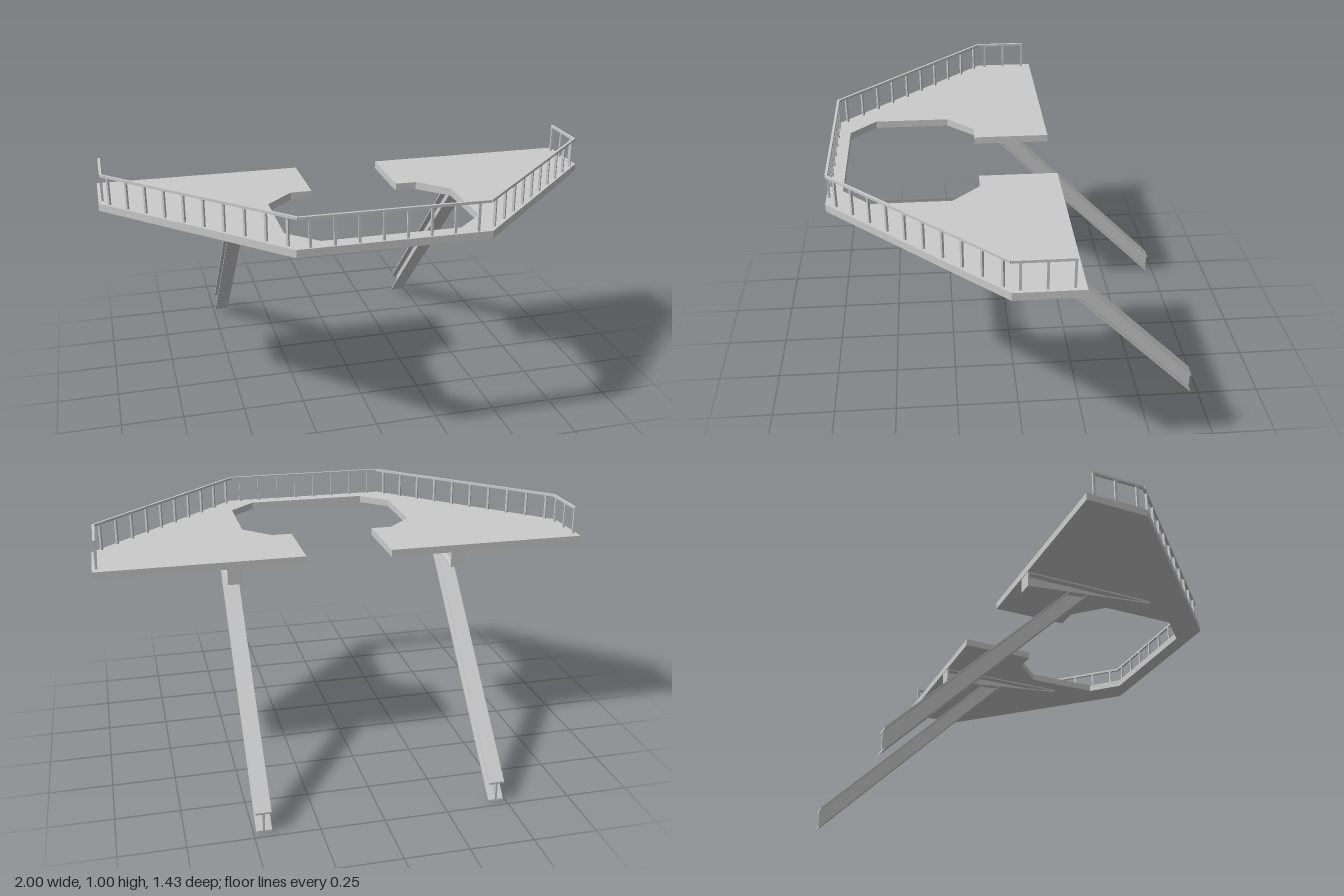
import * as THREE from 'three';

const DECK_TOP = 0.885, DECK_THICK = 0.03;

const material = () => new THREE.MeshStandardMaterial({ color: 0xcccccc, flatShading: true });

function addMesh(parent, name, geometry) {
  const mesh = new THREE.Mesh(geometry, material());
  mesh.name = name;
  parent.add(mesh);
  return mesh;
}

function extrude(points, depth) {
  const shape = new THREE.Shape(points.map(([a, b]) => new THREE.Vector2(a, b)));
  return new THREE.ExtrudeGeometry(shape, { depth, bevelEnabled: false });
}

// Horizontal slab from an [x, z] outline
function slab(points) {
  return extrude(points, DECK_THICK).rotateX(Math.PI / 2).translate(0, DECK_TOP, 0);
}

// Plate from a [z, y] outline, with its thickness along x and centred on x
function sidePlate(points, width, x) {
  return extrude(points, width).translate(0, 0, -width / 2).rotateY(-Math.PI / 2).translate(x, 0, 0);
}

// I-section beam; corners are [z, y]: upper start, upper end, lower end, lower start
function iBeam(parent, name, [a, b, c, d], width, t, x) {
  const toward = (p, q) => {
    const k = t / Math.hypot(q[0] - p[0], q[1] - p[1]);
    return [p[0] + (q[0] - p[0]) * k, p[1] + (q[1] - p[1]) * k];
  };
  const beam = new THREE.Group();
  beam.name = name;
  const a2 = toward(a, d), d2 = toward(d, a), b2 = toward(b, c), c2 = toward(c, b);
  addMesh(beam, 'upperFlange', sidePlate([a, b, b2, a2], width, x));
  addMesh(beam, 'lowerFlange', sidePlate([d2, c2, c, d], width, x));
  addMesh(beam, 'web', sidePlate([a2, b2, c2, d2], t, x));
  parent.add(beam);
}

// Square bar between two points
function bar(parent, name, p, q, size) {
  const length = p.distanceTo(q);
  const mesh = addMesh(parent, name, new THREE.BoxGeometry(size, size, length));
  mesh.position.lerpVectors(p, q, 0.5);
  mesh.lookAt(q);
}

export function createModel() {
  const model = new THREE.Group();
  model.name = 'viewingPlatform';

  // Deck panels
  const deck = new THREE.Group();
  deck.name = 'deck';
  model.add(deck);
  addMesh(deck, 'frontWalkway', slab([[-0.36, 0.715], [0.36, 0.715], [0.26, 0.655], [-0.26, 0.655]]));
  const panels = {
    backPanel: [[0.175, -0.18], [0.83, -0.18], [0.83, 0.07], [0.175, 0.07]],
    sidePanel: [[0.83, -0.18], [1, -0.18], [1, 0.07], [0.83, 0.243]],
    wingPanel: [[0.175, 0.07], [0.83, 0.07], [0.83, 0.243], [0.36, 0.715], [0.26, 0.655],
      [0.37, 0.55], [0.37, 0.24], [0.26, 0.13], [0.175, 0.13]],
  };
  for (const s of [-1, 1]) {
    for (const [name, points] of Object.entries(panels)) {
      addMesh(deck, name, slab(points.map(([x, z]) => [s * x, z])));
    }
  }

  // Tapered brackets and slanted struts
  for (const s of [-1, 1]) {
    const x = s * 0.46;
    const support = new THREE.Group();
    support.name = s > 0 ? 'leftSupport' : 'rightSupport';
    model.add(support);
    iBeam(support, 'bracket', [[0.38, 0.855], [-0.175, 0.855], [-0.175, 0.79], [0.38, 0.843]], 0.06, 0.006, x);
    addMesh(support, 'bracketEndPlate',
      sidePlate([[-0.17, 0.855], [-0.178, 0.855], [-0.178, 0.79], [-0.17, 0.79]], 0.06, x));
    iBeam(support, 'strut', [[0, 0.807], [-0.72, 0.085], [-0.72, 0], [0.09, 0.815]], 0.06, 0.008, x);
  }

  // Railing: posts and a handrail along the outer edge
  const railing = new THREE.Group();
  railing.name = 'railing';
  model.add(railing);
  const half = [[0.35, 0.703], [0.983, 0.07], [0.983, -0.145]];
  const path = [...half.map(([x, z]) => [-x, z]).reverse(), ...half]
    .map(([x, z]) => new THREE.Vector3(x, 0.995, z));
  for (let i = 0; i < path.length - 1; i++) bar(railing, 'handrail', path[i], path[i + 1], 0.01);

  const posts = [];
  for (let i = 0; i < 4; i++) posts.push([0.044 + i * 0.088, 0.703, 0]);
  for (let i = 0; i < 10; i++) posts.push([0.38 + i * 0.0643, 0.673 - i * 0.0643, Math.PI / 4]);
  for (let i = 0; i < 3; i++) posts.push([0.983, 0.04 - i * 0.09, 0]);
  const height = 0.995 - DECK_TOP;
  for (const s of [-1, 1]) {
    for (const [x, z, turn] of posts) {
      const post = addMesh(railing, 'post', new THREE.BoxGeometry(0.009, height, 0.009));
      post.position.set(s * x, DECK_TOP + height / 2, z);
      post.rotation.y = s * turn;
    }
  }
  return model;
}
